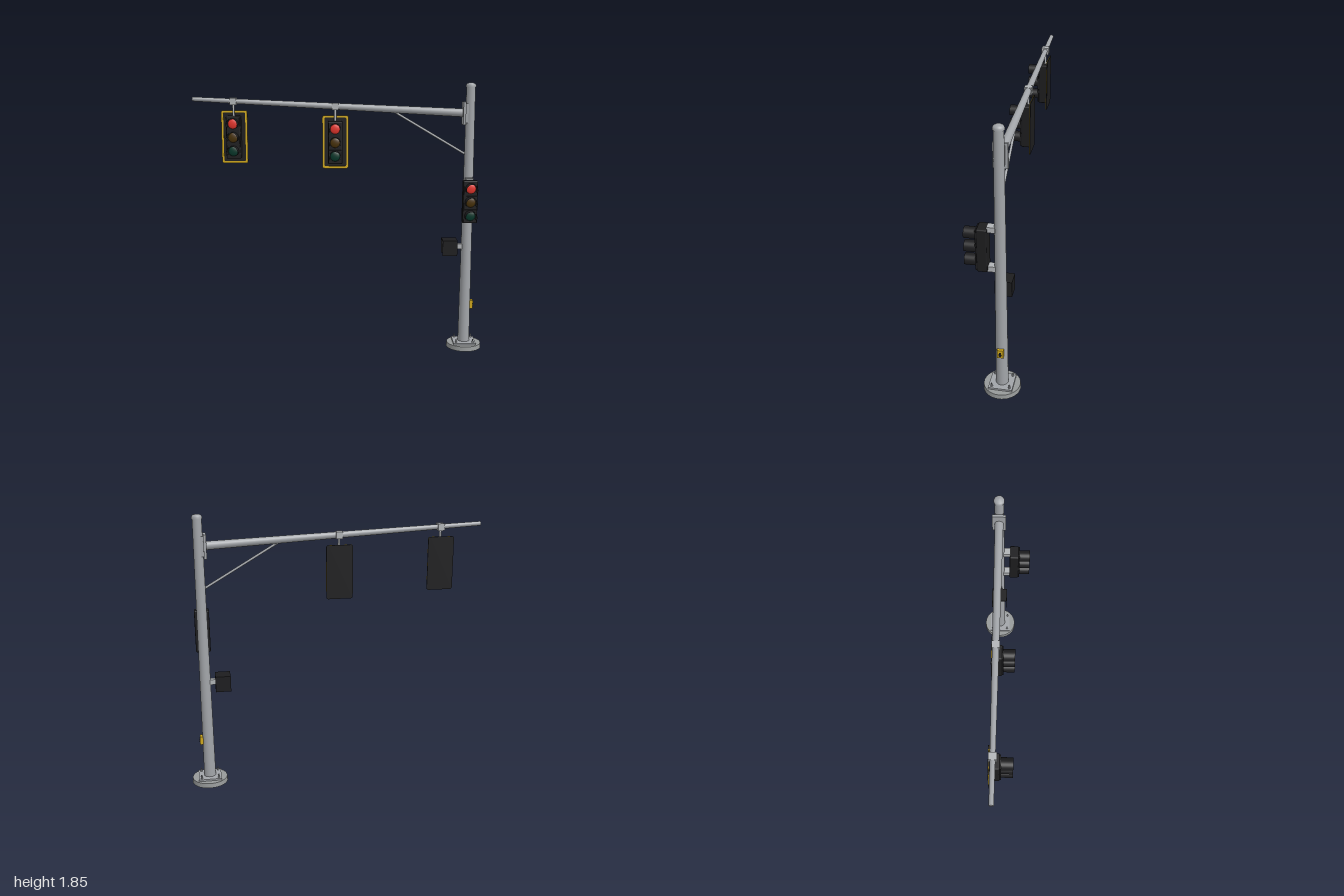
import * as THREE from 'three';
import { RoundedBoxGeometry } from 'three/addons/geometries/RoundedBoxGeometry.js';

const mat = (name, color, side = THREE.FrontSide) => {
  const m = new THREE.MeshStandardMaterial({ color, side });
  m.name = name;
  return m;
};

export function createModel() {
  const M = {
    steel: mat('galvanised steel', 0xa2a5a9),
    bracket: mat('light bracket steel', 0xb2b5b8),
    base: mat('base grey', 0x979a9a),
    black: mat('signal black', 0x1d1d1f, THREE.DoubleSide),
    yellow: mat('safety yellow', 0xd2aa1c),
    red: mat('red lens', 0xe5352c),
    amber: mat('unlit amber lens', 0x4a3309),
    green: mat('unlit green lens', 0x07382b),
  };
  const root = new THREE.Group();
  root.name = 'trafficSignal';
  const PX = 0.877, PZ = -0.045;

  const add = (parent, name, geo, material, x = 0, y = 0, z = 0) => {
    const m = new THREE.Mesh(geo, material);
    m.name = name;
    m.position.set(x, y, z);
    parent.add(m);
    return m;
  };
  const box = (w, h, d) => new THREE.BoxGeometry(w, h, d);
  // Tapered round bar between two points
  const bar = (name, a, b, ra, rb, material, sides = 24) => {
    const A = new THREE.Vector3(...a), B = new THREE.Vector3(...b);
    const m = add(root, name, new THREE.CylinderGeometry(rb, ra, A.distanceTo(B), sides), material);
    m.position.copy(A).lerp(B, 0.5);
    m.quaternion.setFromUnitVectors(new THREE.Vector3(0, 1, 0), B.sub(A).normalize());
    return m;
  };
  const roundRect = (w, h, r, S = THREE.Shape) => {
    const s = new S(), x = w / 2, y = h / 2;
    s.moveTo(-x + r, -y);
    s.lineTo(x - r, -y).absarc(x - r, -y + r, r, -Math.PI / 2, 0);
    s.lineTo(x, y - r).absarc(x - r, y - r, r, 0, Math.PI / 2);
    s.lineTo(-x + r, y).absarc(-x + r, y - r, r, Math.PI / 2, Math.PI);
    s.lineTo(-x, -y + r).absarc(-x + r, -y + r, r, Math.PI, Math.PI * 1.5);
    return s;
  };
  const extrude = (shape, depth) =>
    new THREE.ExtrudeGeometry(shape, { depth, bevelEnabled: false, curveSegments: 5 });

  // Footing, anchor plate and bolts
  add(root, 'footing', new THREE.CylinderGeometry(0.118, 0.121, 0.032, 40), M.base, PX, 0.016, PZ);
  add(root, 'anchorPlate', box(0.155, 0.013, 0.155), M.steel, PX, 0.038, PZ);
  for (const sx of [-1, 1]) for (const sz of [-1, 1]) {
    const x = PX + sx * 0.058, z = PZ + sz * 0.058;
    add(root, 'anchorBolt', new THREE.CylinderGeometry(0.004, 0.004, 0.03, 8), M.steel, x, 0.055, z);
    add(root, 'anchorNut', new THREE.CylinderGeometry(0.008, 0.008, 0.009, 6), M.steel, x, 0.049, z);
  }

  // Pole and domed cap
  bar('pole', [PX, 0.04, PZ], [PX, 1.825, PZ], 0.04, 0.03, M.steel, 32);
  const cap = [[0.034, 0], [0.034, 0.012], [0.03, 0.021], [0.019, 0.028], [0, 0.031]];
  add(root, 'poleCap', new THREE.LatheGeometry(cap.map(p => new THREE.Vector2(...p)), 32),
    M.steel, PX, 1.816, PZ);

  // Mast arm, flange and brace
  const armY = x => 1.736 - (x + 1) * 0.0495;
  bar('mastArm', [-0.999, armY(-1), PZ], [0.85, armY(0.85), PZ], 0.0145, 0.028, M.steel);
  add(root, 'armFlange', box(0.018, 0.155, 0.088), M.steel, 0.835, 1.643, PZ);
  add(root, 'flangeMount', box(0.03, 0.13, 0.055), M.steel, 0.857, 1.643, PZ);
  bar('armBrace', [0.37, 1.65, PZ], [0.855, 1.365, PZ], 0.008, 0.008, M.steel, 12);

  // Three-lens signal head; z = 0 is the back of the housing
  const LENSES = [['red', 0.092], ['amber', 0], ['green', -0.092]];
  function signalHead(name, x, y, z) {
    const g = new THREE.Group();
    g.name = name;
    g.position.set(x, y, z);
    root.add(g);
    add(g, 'housing', new RoundedBoxGeometry(0.098, 0.288, 0.062, 2, 0.008), M.black, 0, 0, 0.031);
    for (const [colour, dy] of LENSES) {
      add(g, 'lensDoor', box(0.088, 0.085, 0.01), M.black, 0, dy, 0.065);
      const lens = new THREE.SphereGeometry(0.033, 24, 6, 0, Math.PI * 2, 0, Math.PI / 2);
      lens.rotateX(Math.PI / 2).scale(1, 1, 0.3);
      add(g, colour + 'Lens', lens, M[colour], 0, dy, 0.07);
      const visor = new THREE.CylinderGeometry(0.038, 0.038, 0.072, 24, 1, true, Math.PI - 2.1, 4.2);
      add(g, 'visor', visor.rotateX(Math.PI / 2), M.black, 0, dy, 0.105);
    }
    return g;
  }

  // Arm signals with bordered backplates, each hung from a clamp
  for (const x of [-0.721, -0.032]) {
    const ay = armY(x), cy = ay - 0.243;
    const g = signalHead('armSignal', x, cy, -0.068);
    add(g, 'backplate', extrude(roundRect(0.178, 0.36, 0.014), 0.004), M.black, 0, 0, -0.005);
    const border = roundRect(0.178, 0.36, 0.014);
    border.holes.push(roundRect(0.15, 0.332, 0.01, THREE.Path));
    add(g, 'reflectiveBorder', extrude(border, 0.003), M.yellow, 0, 0, -0.001);
    add(root, 'armClamp', box(0.045, 0.047, 0.05), M.bracket, x, ay - 0.001, PZ);
    bar('hangerRod', [x, cy + 0.14, PZ], [x, ay, PZ], 0.008, 0.008, M.bracket, 12);
  }

  // Pole signal and its two brackets
  signalHead('poleSignal', PX, 1.057, 0.026);
  for (const y of [0.922, 1.192])
    add(root, 'signalBracket', box(0.05, 0.036, 0.05), M.bracket, PX, y, 0.006);

  // Pedestrian signal facing along the arm, with an open-bottomed hood
  const ped = new THREE.Group();
  ped.name = 'pedestrianSignal';
  ped.position.set(0.785, 0.722, PZ);
  root.add(ped);
  add(ped, 'pedHousing', box(0.05, 0.106, 0.108), M.black);
  add(ped, 'hoodTop', box(0.052, 0.005, 0.108), M.black, -0.05, 0.0505, 0);
  for (const s of [-1, 1])
    add(ped, 'hoodSide', box(0.052, 0.106, 0.005), M.black, -0.05, 0, s * 0.0515);
  add(ped, 'handPalm', box(0.004, 0.028, 0.032), M.red, -0.026, -0.012, 0);
  for (let i = 0; i < 4; i++)
    add(ped, 'handFinger', box(0.004, 0.026, 0.006), M.red, -0.026, 0.014, -0.013 + i * 0.0087);
  add(root, 'pedBracket', box(0.05, 0.035, 0.035), M.bracket, 0.832, 0.728, PZ);

  // Crossing push button on the outer side of the pole
  add(root, 'buttonBox', box(0.022, 0.058, 0.04), M.yellow, PX + 0.045, 0.31, PZ);
  const button = new THREE.CylinderGeometry(0.01, 0.01, 0.006, 16).rotateZ(Math.PI / 2);
  add(root, 'pushButton', button, M.black, PX + 0.058, 0.304, PZ);
  add(root, 'buttonMarker', box(0.002, 0.006, 0.014), M.black, PX + 0.0565, 0.32, PZ);

  return root;
}
